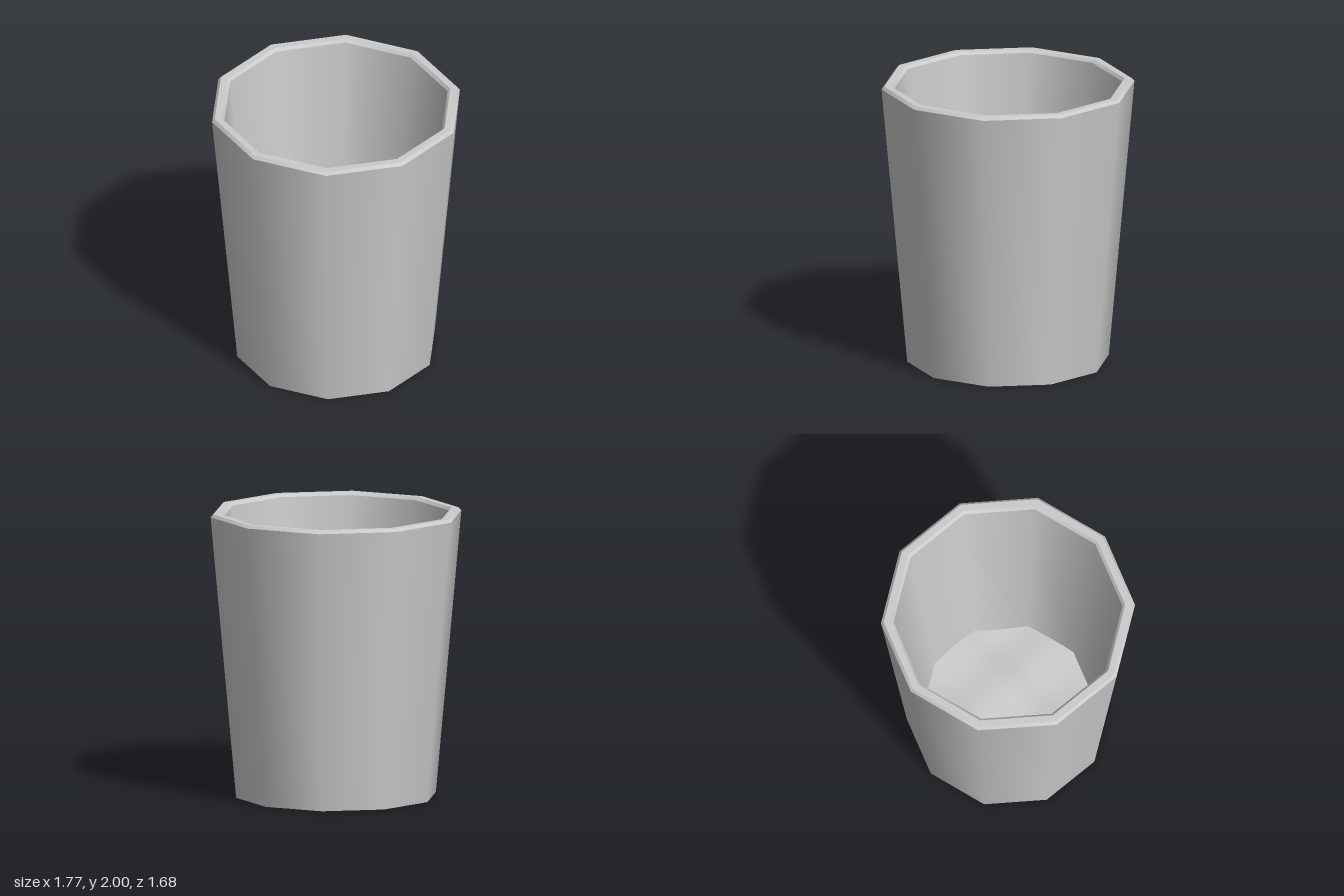
import * as THREE from 'three';

const SIDES = 10;
const material = () => new THREE.MeshStandardMaterial({ color: 0xcccccc });

// One ten-sided band between profile points [radius, height], corners on the x axis
function band(name, ...points) {
  const profile = points.map(([r, y]) => new THREE.Vector2(r, y));
  const mesh = new THREE.Mesh(new THREE.LatheGeometry(profile, SIDES, Math.PI / 2), material());
  mesh.name = name;
  return mesh;
}

// Gently uneven surface lying in the bottom of the cup
function createContents() {
  const geometry = new THREE.RingGeometry(0.001, 1, 40, 10);
  geometry.rotateX(-Math.PI / 2);
  const p = geometry.attributes.position;
  const step = (2 * Math.PI) / SIDES;
  for (let i = 0; i < p.count; i++) {
    // Reshape the circle into a decagon that meets the inner wall
    const angle = Math.atan2(p.getZ(i), p.getX(i)) + 2 * Math.PI;
    const scale = 0.605 * Math.cos(step / 2) / Math.cos((angle % step) - step / 2);
    const x = p.getX(i) * scale, z = p.getZ(i) * scale;
    const bump = 0.016 * Math.sin(9 * x + 4 * z) * Math.cos(8 * z - 3 * x)
      + 0.01 * Math.sin(13 * z + 5 * x + 1);
    p.setXYZ(i, x, 0.13 + bump, z);
  }
  geometry.computeVertexNormals();
  const mesh = new THREE.Mesh(geometry, material());
  mesh.name = 'contents';
  return mesh;
}

export function createModel() {
  const cup = new THREE.Group();
  cup.name = 'cup';
  // Separate bands keep the edges crisp while the walls shade smoothly
  cup.add(
    band('base', [0, 0], [0.705, 0]),
    band('outerWall', [0.705, 0], [0.885, 1.98]),
    band('outerRimBevel', [0.885, 1.98], [0.866, 2]),
    band('rimTop', [0.866, 2], [0.816, 2]),
    band('innerRimBevel', [0.816, 2], [0.797, 1.98]),
    band('innerWall', [0.797, 1.98], [0.592, 0.08]),
    band('innerFloor', [0.592, 0.08], [0, 0.08]),
    createContents(),
  );
  return cup;
}
